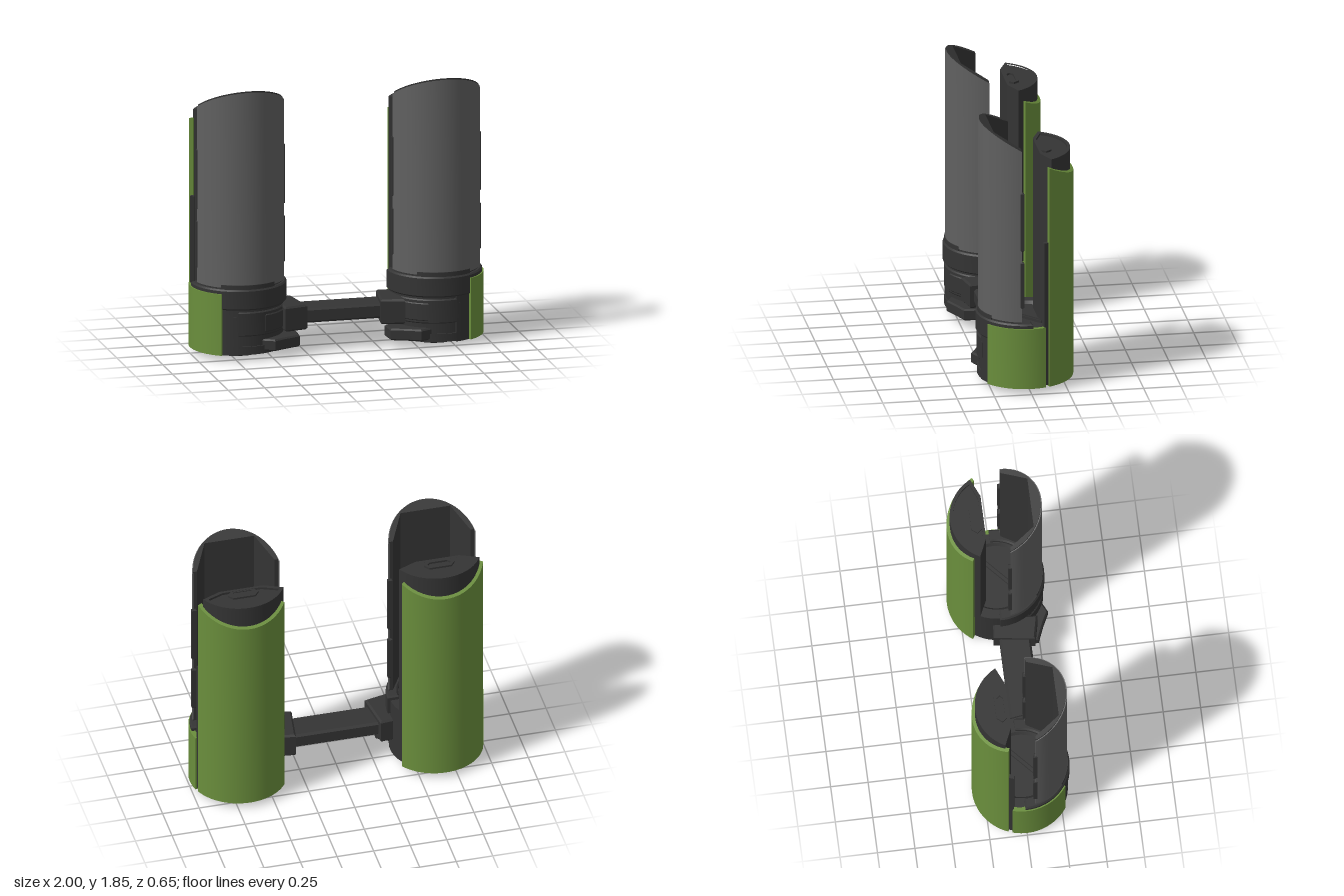
import * as THREE from 'three';
import { toCreasedNormals } from 'three/addons/utils/BufferGeometryUtils.js';

const mat = (name, color) => {
  const m = new THREE.MeshStandardMaterial({ color });
  m.name = name;
  return m;
};
const rad = THREE.MathUtils.degToRad;

// Point on a circle in plan; 0 degrees is the front, positive turns to the outer side
const polar = (r, deg) => [r * Math.sin(rad(deg)), r * Math.cos(rad(deg))];

function arc(r, a0, a1) {
  const n = Math.max(2, Math.ceil(Math.abs(a1 - a0) / 5));
  return Array.from({ length: n + 1 }, (_, i) => polar(r, a0 + ((a1 - a0) * i) / n));
}

const ring = (r0, r1, a0, a1) => [...arc(r1, a0, a1), ...arc(r0, a1, a0)];

// Extrude a plan outline of [x, z] points upward from y0 to y1
function prism(points, y0, y1, { hole, slope, zRef = 0, bevel = 0 } = {}) {
  const toV = (p) => p.map(([x, z]) => new THREE.Vector2(x, -z));
  const shape = new THREE.Shape(toV(points));
  if (hole) shape.holes.push(new THREE.Path(toV(hole)));
  const geo = new THREE.ExtrudeGeometry(shape, {
    depth: y1 - y0 - 2 * bevel, steps: 1, bevelEnabled: bevel > 0,
    bevelSize: bevel, bevelThickness: bevel, bevelOffset: -bevel, bevelSegments: 1,
  });
  geo.rotateX(-Math.PI / 2).translate(0, y0 + bevel, 0);
  if (slope) {
    // Slanted top
    const p = geo.attributes.position;
    for (let i = 0; i < p.count; i++) {
      if (p.getY(i) > (y0 + y1) / 2) p.setY(i, y1 + slope * (p.getZ(i) - zRef));
    }
  }
  return toCreasedNormals(geo, 0.4);
}

export function createModel() {
  const model = new THREE.Group();
  model.name = 'twinCylinderRack';
  const dark = mat('darkPlastic', 0x343434);
  const gray = mat('grayShell', 0x606060);
  const green = mat('greenPanel', 0x6a8e3c);

  function buildTower(side) {
    const tower = new THREE.Group();
    tower.name = side > 0 ? 'leftTower' : 'rightTower';
    tower.position.x = 0.67 * side;
    const flip = (pts) => pts.map(([u, z]) => [u * side, z]);
    const mesh = (name, geo, material) => {
      const m = new THREE.Mesh(geo, material);
      m.name = name;
      tower.add(m);
      return m;
    };
    const add = (name, pts, y0, y1, material = dark, opt = {}) =>
      mesh(name, prism(flip(pts), y0, y1, { ...opt, hole: opt.hole && flip(opt.hole) }), material);

    // Base drum with foot, underside groove and recessed floor
    const profile = [[0, 0.035], [0.105, 0.035], [0.12, 0], [0.155, 0], [0.165, 0.01], [0.165, 0.09],
      [0.24, 0.09], [0.24, 0.05], [0.25, 0.04], [0.29, 0.04], [0.3, 0.05], [0.3, 0.46],
      [0.235, 0.46], [0.22, 0.44], [0, 0.44]].map(([x, y]) => new THREE.Vector2(x, y));
    mesh('baseDrum', toCreasedNormals(new THREE.LatheGeometry(profile, 64), 0.4), dark);
    for (const o of [-0.013, 0.013]) {
      const rib = mesh('floorRib', new THREE.BoxGeometry(0.43, 0.02, 0.008), dark);
      rib.rotation.y = rad(42);
      rib.position.set(o * Math.sin(rad(42)), 0.448, 0.04 + o * Math.cos(rad(42)));
    }

    // Collar and seat of the front shell
    add('collar', ring(0.24, 0.32, -92, 92), 0.35, 0.49, dark, { bevel: 0.01 });
    add('collarLip', ring(0.25, 0.31, -36, 36), 0.48, 0.52);
    add('basePost', ring(0.28, 0.31, 14, 35), 0.04, 0.36);
    add('baseSill', ring(0.28, 0.31, -40, 34), 0.045, 0.1);

    // Front shell: flat-sided dark liner with a smooth outer skin
    const liner = [...arc(0.297, -78, 78), [0.265, 0.062], [0.17, 0.23], [-0.17, 0.23], [-0.265, 0.062]];
    add('shellLiner', liner, 0.48, 1.85, dark, { slope: 0.56, zRef: 0.305 });
    add('frontShell', ring(0.295, 0.304, -78.5, 78.5), 0.5, 1.838, gray, { slope: 0.56, zRef: 0.305 });
    for (const s of [-1, 1]) {
      for (const [y0, y1] of [[0.6, 0.92], [1.0, 1.41]]) {
        add('shellEdgeRail', [[s * 0.303, 0.07], [s * 0.303, 0.045], [s * 0.27, 0.045], [s * 0.27, 0.07]],
          y0, y1, dark, { bevel: 0.006 });
      }
    }

    // Back column with rimmed top and hexagonal latch
    const column = [...arc(0.307, 117, 243), [-0.15, -0.085], [0.15, -0.085]];
    const inner = column.map(([u, z]) => [u * 0.88, -0.19 + (z + 0.19) * 0.82]);
    add('backColumn', column, 0.42, 1.615);
    add('columnRim', column, 1.61, 1.63, dark, { hole: inner });
    const hex = (a, b, h) => [[a, 0], [b, h], [-b, h], [-a, 0], [-b, -h], [b, -h]].map(([u, z]) => [u, z - 0.136]);
    add('topLatch', hex(0.105, 0.075, 0.038), 1.61, 1.628, dark, { hole: hex(0.08, 0.06, 0.022) });

    // Green panels and the seam between them
    add('backPanel', ring(0.3, 0.328, 112, 235), 0.04, 1.47, green, { slope: 0.52, zRef: -0.328 });
    add('sidePanel', ring(0.295, 0.329, 34, 107), 0.04, 0.46, green);
    add('panelSeam', ring(0.29, 0.317, 106, 113), 0.05, 1.05);

    // Clamp wrapped round the front, with its socket for the bar
    add('clampBand', ring(0.27, 0.312, -75, 15), 0.17, 0.335, dark, { bevel: 0.008 });
    add('clampTip', ring(0.27, 0.312, 14, 20), 0.2, 0.305);
    add('clampWindow', ring(0.29, 0.319, -66, -21), 0.19, 0.31, dark, { bevel: 0.006 });
    add('barSocket', [[-0.24, -0.05], [-0.38, -0.065], [-0.42, 0.21], [-0.26, 0.245]], 0.165, 0.335, dark, { bevel: 0.012 });
    add('lowerTab', [[-0.08, 0.28], [-0.17, 0.325], [-0.25, 0.285], [-0.36, 0.24], [-0.37, 0.12], [-0.26, 0.05]],
      0.06, 0.14, dark, { bevel: 0.01 });
    return tower;
  }

  for (const side of [-1, 1]) model.add(buildTower(side));

  // Chamfered bar joining the two towers
  const [h, d, c] = [0.05, 0.103, 0.014];
  const section = [[-d + c, -h], [d - c, -h], [d, -h + c], [d, h - c], [d - c, h], [-d + c, h], [-d, h - c], [-d, -h + c]];
  const barGeo = new THREE.ExtrudeGeometry(new THREE.Shape(section.map(([a, b]) => new THREE.Vector2(a, b))),
    { depth: 0.6, bevelEnabled: false });
  barGeo.translate(0, 0, -0.3).rotateY(Math.PI / 2);
  const bar = new THREE.Mesh(barGeo, dark);
  bar.name = 'connectingBar';
  bar.position.set(0, 0.25, 0.078);
  model.add(bar);
  return model;
}
